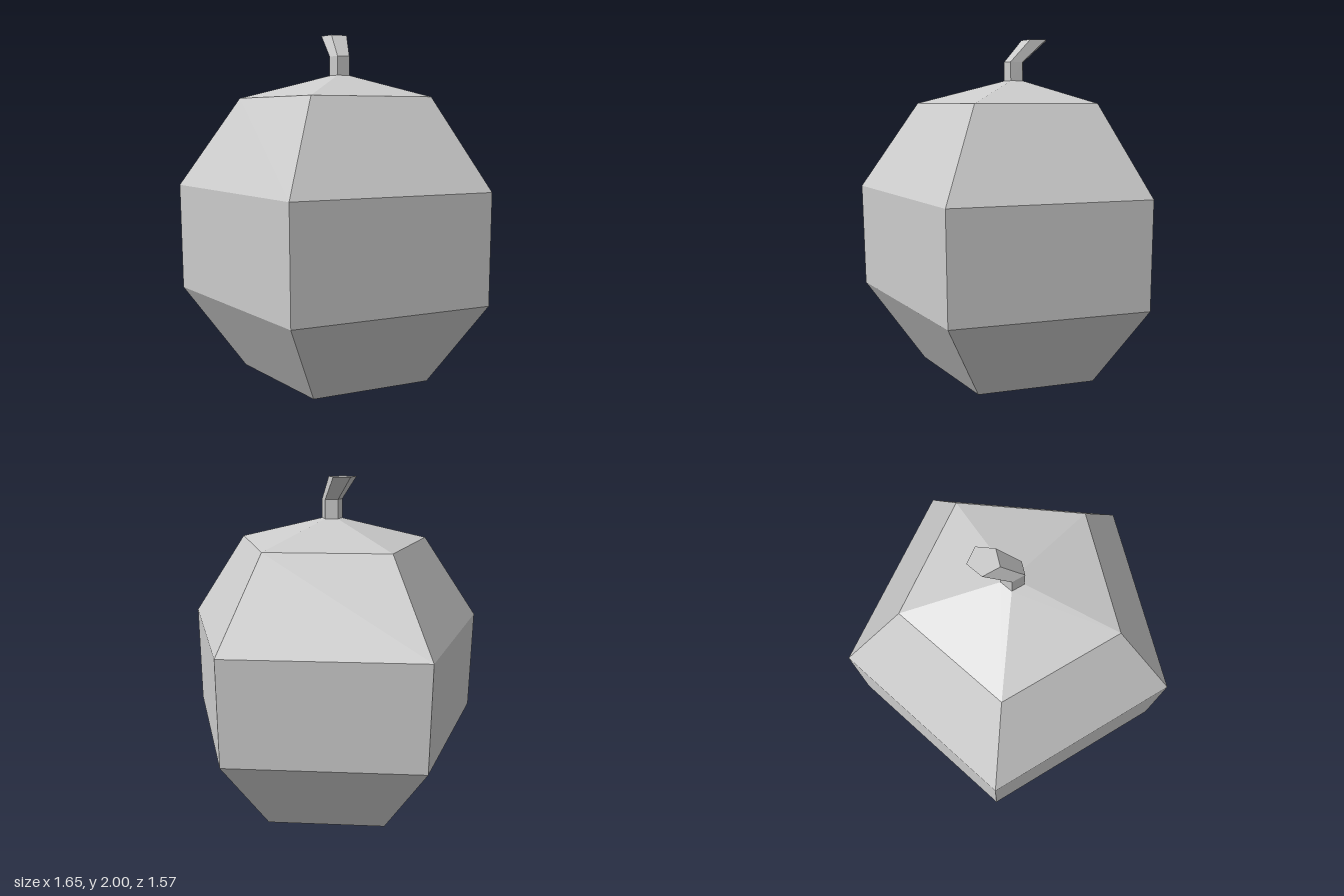
import * as THREE from 'three';

const SIDES = 5;
const CENTER_Z = 0.08;

export function createModel() {
  const group = new THREE.Group();
  const material = new THREE.MeshStandardMaterial({ color: 0xcccccc, flatShading: true });

  // Five-sided fruit body, one corner pointing back: [radius, height]
  const profile = [[0, 0], [0.537, 0.18], [0.868, 0.635], [0.868, 1.2], [0.537, 1.66], [0.057, 1.78]]
    .map(([r, y]) => new THREE.Vector2(r, y));
  const body = new THREE.Mesh(new THREE.LatheGeometry(profile, SIDES, Math.PI), material);
  body.name = 'fruitBody';
  body.position.z = CENTER_Z;
  group.add(body);

  // Bent stem: each ring of a cylinder is placed and scaled, bottom to top
  const rings = [
    { x: 0, y: 1.78, z: CENTER_Z, r: 0.057 },
    { x: 0, y: 1.88, z: CENTER_Z, r: 0.057 },
    { x: -0.112, y: 2, z: 0.025, r: 0.075 },
  ];
  const stemGeometry = new THREE.CylinderGeometry(1, 1, 2, SIDES, 2, false, Math.PI);
  const p = stemGeometry.attributes.position;
  for (let i = 0; i < p.count; i++) {
    const ring = rings[Math.round(p.getY(i)) + 1];
    p.setXYZ(i, ring.x + p.getX(i) * ring.r, ring.y, ring.z + p.getZ(i) * ring.r);
  }
  stemGeometry.computeVertexNormals();
  const stem = new THREE.Mesh(stemGeometry, material);
  stem.name = 'stem';
  group.add(stem);

  return group;
}
